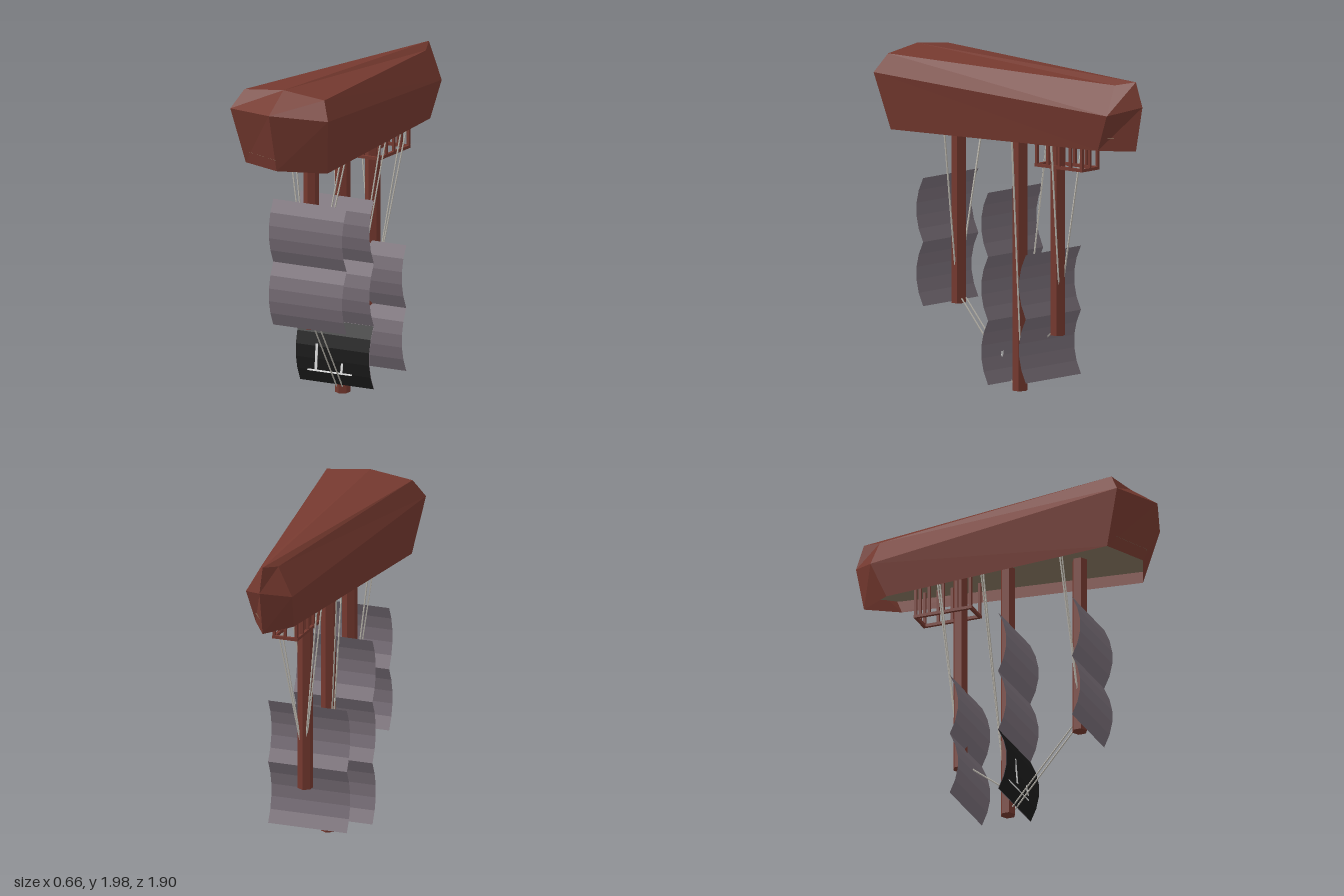
import * as THREE from 'three';

const mat = (name, color, double = true) => {
  const m = new THREE.MeshStandardMaterial({ color, flatShading: true });
  m.name = name;
  if (double) m.side = THREE.DoubleSide;
  return m;
};

export function createModel() {
  const wood = mat('red brown wood', 0x75392f);
  const canvas = mat('grey canvas', 0x776d76);
  const black = mat('black canvas', 0x1b1b1b, false);
  const white = mat('white paint', 0xdcdcdc);
  const rope = mat('pale rope', 0xb8b4ab);
  const planks = mat('tan planks', 0x857660);

  const model = new THREE.Group();
  const add = (name, geometry, material, parent = model) => {
    const mesh = new THREE.Mesh(geometry, material);
    mesh.name = name;
    parent.add(mesh);
    return mesh;
  };
  const group = (name) => {
    const g = new THREE.Group();
    g.name = name;
    model.add(g);
    return g;
  };

  // Upturned hull: half of it as quads, mirrored across x
  const P = {
    rim: [0.275, 1.525, 0.745], side: [0.33, 1.86, 0.83], top: [0.27, 1.97, 0.77],
    keel: [0, 2, 0.78], tip: [0, 1.88, 0.95], tipRim: [0, 1.53, 0.86],
    rimB: [0.12, 1.525, -0.71], sideB: [0.145, 1.74, -0.8], topB: [0.05, 1.91, -0.78],
    keelB: [0, 1.935, -0.9], tipB: [0, 1.79, -0.95], tipRimB: [0, 1.525, -0.9],
  };
  const quads = [
    ['side', 'rim', 'rimB', 'sideB'], ['top', 'side', 'sideB', 'topB'],
    ['keel', 'top', 'topB', 'keelB'], ['tipRim', 'rim', 'side', 'tip'],
    ['tip', 'side', 'top', 'keel'], ['tipB', 'sideB', 'rimB', 'tipRimB'],
    ['keelB', 'topB', 'sideB', 'tipB'],
  ];
  const pos = [];
  for (const s of [1, -1]) {
    for (const q of quads) {
      const c = q.map((k) => [P[k][0] * s, P[k][1], P[k][2]]);
      if (s < 0) c.reverse();
      for (const i of [0, 1, 2, 0, 2, 3]) pos.push(...c[i]);
    }
  }
  const hull = new THREE.BufferGeometry();
  hull.setAttribute('position', new THREE.Float32BufferAttribute(pos, 3));
  hull.computeVertexNormals();
  add('hull', hull, wood);

  // Deck recessed inside the rim
  const deck = new THREE.Shape([
    [0, 0.88], [0.285, 0.762], [0.125, -0.73], [0, -0.91], [-0.125, -0.73], [-0.285, 0.762],
  ].map(([x, z]) => new THREE.Vector2(x, z)));
  add('deck', new THREE.ShapeGeometry(deck).rotateX(Math.PI / 2), planks).position.y = 1.6;

  const line = (name, a, b, r, parent) => {
    const A = new THREE.Vector3(...a), B = new THREE.Vector3(...b);
    const m = add(name, new THREE.CylinderGeometry(r, r, A.distanceTo(B), 4), rope, parent);
    m.position.copy(A).add(B).multiplyScalar(0.5);
    m.quaternion.setFromUnitVectors(new THREE.Vector3(0, 1, 0), B.sub(A).normalize());
  };

  // Billowing sheet, bulging forward
  const sheet = (w, h, bulge) => {
    const g = new THREE.PlaneGeometry(w, h, 1, 5);
    const p = g.attributes.position;
    for (let i = 0; i < p.count; i++) {
      const t = (2 * p.getY(i)) / h;
      p.setZ(i, bulge * (1 - t * t));
    }
    g.computeVertexNormals();
    return g;
  };

  // Masts with their sails and shrouds
  const H = 0.378;
  const masts = [
    { name: 'frontMast', x: 0, z: 0.46, end: 0.5, sailX: 0.018, sailZ: 0.505, sailTop: 1.26, n: 2,
      ropeZ: 0.405, ropeEnd: [0.47, 0.55], ropeX: [0.2, -0.165] },
    { name: 'mainMast', x: -0.042, z: 0.025, end: 0.02, sailX: -0.053, sailZ: 0.068, sailTop: 1.208, n: 3,
      ropeZ: -0.095, ropeEnd: [0.015, 0.12], ropeX: [0.175, -0.16] },
    { name: 'rearMast', x: -0.02, z: -0.284, end: 0.38, sailX: -0.02, sailZ: -0.25, sailTop: 0.875, n: 2,
      ropeZ: -0.375, ropeEnd: [-0.3, 0.55], ropeX: [0.15, -0.15] },
  ];
  for (const m of masts) {
    const g = group(m.name);
    const len = 1.6 - m.end;
    const pole = add('pole', new THREE.CylinderGeometry(0.045, 0.045, len, 6), wood, g);
    pole.position.set(m.x, m.end + len / 2, m.z);
    for (let i = 0; i < m.n; i++) {
      const y = m.sailTop - H * (i + 0.5);
      add('sail', sheet(0.495, H, 0.053), canvas, g).position.set(m.sailX, y, m.sailZ);
      if (i === 2) {
        add('blackSailFace', sheet(0.495, H, 0.053), black, g).position.set(m.sailX, y, m.sailZ + 0.004);
        // Plain painted strokes
        for (const [x, sy, w, h] of [[-0.08, 0.15, 0.3, 0.01], [-0.16, 0.235, 0.016, 0.16], [0.01, 0.2, 0.014, 0.1]]) {
          const stroke = add('paintedStroke', new THREE.BoxGeometry(w, h, 0.004), white, g);
          const t = (2 * (sy - y)) / H;
          stroke.position.set(x, sy, m.sailZ + 0.007 + 0.053 * (1 - t * t));
          stroke.rotation.x = -Math.atan((-2 * 0.053 * t * 2) / H);
        }
      }
    }
    const [rz, ry] = m.ropeEnd;
    for (const x of m.ropeX) {
      for (const d of [-0.011, 0.011]) {
        line('shroud', [x + d, 1.6, m.ropeZ - d], [m.x, ry, rz], 0.005, g);
      }
    }
  }

  // Stays between the mast ends
  const stays = group('stays');
  for (const d of [-0.02, 0.02]) line('frontStay', [d, 0.53, 0.42], [-0.042 + d, 0.06, 0.06], 0.005, stays);
  line('rearStay', [-0.042, 0.2, 0], [-0.02, 0.4, -0.25], 0.005, stays);

  // Railing under the stern
  const railing = group('sternRailing');
  const bar = (name, w, h, d, x, y, z) =>
    add(name, new THREE.BoxGeometry(w, h, d), wood, railing).position.set(x, y, z);
  for (const x of [-0.07, 0.07]) {
    bar('sideRail', 0.018, 0.018, 0.365, x, 1.386, -0.372);
    for (let i = 0; i < 5; i++) bar('post', 0.016, 0.22, 0.016, x, 1.49, -0.2 - i * 0.0865);
  }
  for (const z of [-0.198, -0.546]) bar('endRail', 0.14, 0.018, 0.018, 0, 1.386, z);
  bar('endPost', 0.016, 0.22, 0.016, 0, 1.49, -0.546);

  return model;
}
